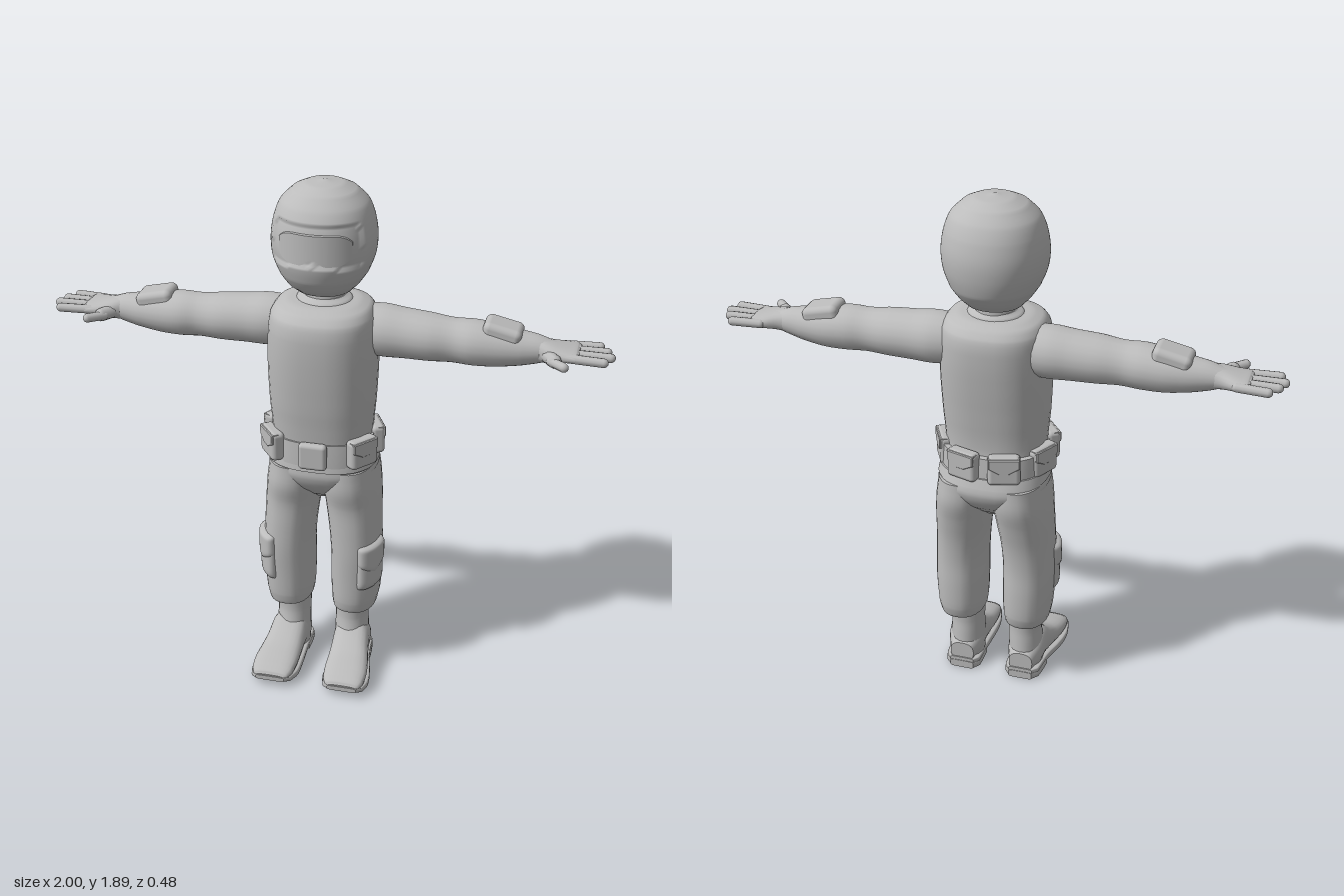
import * as THREE from 'three';
import { mergeVertices } from 'three/addons/utils/BufferGeometryUtils.js';
import { RoundedBoxGeometry } from 'three/addons/geometries/RoundedBoxGeometry.js';

const superCos = (a, p) => Math.sign(Math.cos(a)) * Math.abs(Math.cos(a)) ** (2 / p);
const superSin = (a, p) => Math.sign(Math.sin(a)) * Math.abs(Math.sin(a)) ** (2 / p);

// Closed skin through cross-sections [t, cx, cz, rx, rz] stacked along +y, smoothed between sections
function loft(sections, { n = 28, sub = 4, p = 2 } = {}) {
  const rows = [];
  const last = sections.length - 1;
  for (let k = 0; k < last; k++) {
    const q = [k - 1, k, k + 1, k + 2].map((i) => sections[Math.min(last, Math.max(0, i))]);
    for (let s = 0; s < sub; s++) {
      const t = s / sub;
      rows.push(q[1].map((b, c) => {
        if (c === 0) return b + (q[2][0] - b) * t;
        const m1 = (q[2][c] - q[0][c]) / 2, m2 = (q[3][c] - b) / 2, d = q[2][c] - b;
        return b + t * (m1 + t * (3 * d - 2 * m1 - m2 + t * (m1 + m2 - 2 * d)));
      }));
    }
  }
  rows.push(sections[last]);
  const pos = [], index = [];
  const ring = ([y, cx, cz, rx, rz]) => {
    for (let j = 0; j < n; j++) {
      const a = (j / n) * Math.PI * 2;
      pos.push(cx + rx * superCos(a, p), y, cz + rz * superSin(a, p));
    }
  };
  rows.forEach(ring);
  for (let i = 0; i < rows.length - 1; i++) {
    for (let j = 0; j < n; j++) {
      const a = i * n + j, b = i * n + ((j + 1) % n);
      index.push(a, a + n, b, b, a + n, b + n);
    }
  }
  // End caps with their own corners, so the rim stays sharp
  [rows[0], rows[rows.length - 1]].forEach((r, top) => {
    const base = pos.length / 3;
    ring(r);
    pos.push(r[1], r[0], r[2]);
    for (let j = 0; j < n; j++) {
      const a = base + j, b = base + ((j + 1) % n);
      index.push(base + n, top ? b : a, top ? a : b);
    }
  });
  const g = new THREE.BufferGeometry();
  g.setAttribute('position', new THREE.Float32BufferAttribute(pos, 3));
  g.setIndex(index);
  g.computeVertexNormals();
  return g;
}

// Move every vertex by a rule
function reshape(g, rule) {
  const P = g.attributes.position, v = new THREE.Vector3();
  for (let i = 0; i < P.count; i++) {
    rule(v.fromBufferAttribute(P, i));
    P.setXYZ(i, v.x, v.y, v.z);
  }
  g.computeVertexNormals();
  return g;
}
const alongX = (g) => reshape(g, (v) => v.set(v.y, v.z, v.x));
const alongZ = (g) => reshape(g, (v) => v.set(v.z, v.x, v.y));

function mirrored(geometry) {
  const g = mergeVertices(geometry.clone());
  g.scale(-1, 1, 1);
  const ix = g.index.array;
  for (let i = 0; i < ix.length; i += 3) [ix[i], ix[i + 2]] = [ix[i + 2], ix[i]];
  return g;
}

// Rounded finger between two points
function finger(a, b, r) {
  const A = new THREE.Vector3(...a), d = new THREE.Vector3(...b).sub(A);
  const g = new THREE.CapsuleGeometry(r, d.length() - r, 4, 10);
  g.applyQuaternion(new THREE.Quaternion().setFromUnitVectors(new THREE.Vector3(0, 1, 0), d.clone().normalize()));
  return g.translate(A.x + d.x / 2, A.y + d.y / 2, A.z + d.z / 2);
}

// Pouch flap with a blunt point, facing +z
function flap(w, h, d) {
  const s = new THREE.Shape();
  s.moveTo(-w / 2, h / 2).lineTo(-w / 2, -h * 0.1).lineTo(-w * 0.15, -h / 2);
  s.lineTo(w * 0.15, -h / 2).lineTo(w / 2, -h * 0.1).lineTo(w / 2, h / 2);
  return new THREE.ExtrudeGeometry(s, { depth: d, bevelSize: 0.003, bevelThickness: 0.003, bevelSegments: 1 });
}

// Padded patch wrapped round the outside of the left thigh; dip lowers the middle of its lower edge
function thighPatch(y0, y1, lift, dip) {
  return reshape(new THREE.PlaneGeometry(2, 2, 18, 18), ({ ...o }) => o) && reshape(new THREE.PlaneGeometry(2, 2, 18, 18), (v) => {
    const u = v.x * (1 - 0.06 * v.y ** 8), w = v.y * (1 - 0.06 * v.x ** 8);
    const a = 0.66 - u * 0.7;
    const out = -0.012 + (lift + 0.012) * (1 - v.x ** 8) * (1 - v.y ** 8);
    const drop = w < 0 ? dip * w * (1 - Math.abs(u)) : 0;
    v.set(0.127 + (0.092 + out) * superCos(a, 2.3), (y0 + y1) / 2 + (w * (y1 - y0)) / 2 + drop,
      -0.046 + (0.129 + out) * superSin(a, 2.3));
  });
}

export function createModel() {
  const model = new THREE.Group();
  model.name = 'helmetedFigure';
  const grey = new THREE.MeshStandardMaterial({ color: 0xbcbcbc });
  grey.name = 'grey';
  const add = (name, g) => {
    const m = new THREE.Mesh(g, grey);
    m.name = name;
    model.add(m);
  };
  const pair = (name, g) => {
    add(name + 'Left', g);
    add(name + 'Right', mirrored(g));
  };

  // Helmet with a sunken face opening
  const helmet = loft([
    [1.497, 0, -0.055, 0.07, 0.065], [1.51, 0, -0.054, 0.098, 0.1], [1.54, 0, -0.05, 0.126, 0.138],
    [1.58, 0, -0.05, 0.153, 0.166], [1.64, 0, -0.049, 0.175, 0.183], [1.705, 0, -0.051, 0.18, 0.185],
    [1.77, 0, -0.053, 0.17, 0.171], [1.82, 0, -0.055, 0.15, 0.146], [1.86, 0, -0.056, 0.11, 0.108],
    [1.88, 0, -0.057, 0.066, 0.066], [1.889, 0, -0.057, 0.01, 0.01],
  ], { n: 96, sub: 7, p: 2.1 });
  reshape(helmet, (v) => {
    const low = 1.65 - Math.abs(v.x) * 0.12;
    if (v.z > 0.045 && v.y > low && v.y < 1.78) {
      v.x *= 0.965;
      v.z = -0.05 + (v.z + 0.05) * 0.94;
    }
  });
  add('helmet', helmet);

  // Goggles wrapped round the face, with a notch for the nose
  const goggles = reshape(new THREE.BoxGeometry(2, 2, 1, 32, 10, 1), (v) => {
    const x = v.x * 0.125, side = Math.abs(v.x);
    const half = 0.054 * (1 - 0.5 * side ** 6);
    const notch = v.y < 0 ? 0.028 * Math.exp(-((x / 0.026) ** 2)) * -v.y : 0;
    const y = 1.7 + v.y * half + notch;
    v.set(x, y, -0.052 + 0.181 * Math.sqrt(1 - (x / 0.18) ** 2) + v.z * 0.022 - 0.013);
  });
  add('goggles', goggles);

  // Neck, collar and torso
  add('neck', new THREE.CylinderGeometry(0.068, 0.075, 0.1, 28).translate(0, 1.48, -0.056));
  add('collar', loft([[1.45, 0, -0.05, 0.11, 0.1], [1.475, 0, -0.052, 0.095, 0.088], [1.487, 0, -0.055, 0.075, 0.07]]));
  add('torso', loft([
    [0.94, 0, -0.04, 0.176, 0.145], [1.0, 0, -0.036, 0.18, 0.146], [1.1, 0, -0.035, 0.188, 0.158],
    [1.25, 0, -0.038, 0.193, 0.174], [1.37, 0, -0.041, 0.19, 0.181], [1.425, 0, -0.043, 0.182, 0.174],
    [1.455, 0, -0.045, 0.163, 0.148], [1.47, 0, -0.048, 0.125, 0.11], [1.473, 0, -0.05, 0.07, 0.06],
  ], { n: 36, p: 2.4 }));

  // Sleeves
  pair('arm', alongX(loft([
    [0.1, -0.075, 1.358, 0.08, 0.085], [0.2, -0.075, 1.358, 0.095, 0.093], [0.28, -0.073, 1.355, 0.091, 0.088],
    [0.37, -0.07, 1.352, 0.088, 0.084], [0.45, -0.07, 1.349, 0.077, 0.078], [0.52, -0.07, 1.348, 0.084, 0.08],
    [0.6, -0.074, 1.344, 0.078, 0.074], [0.68, -0.075, 1.343, 0.064, 0.062], [0.74, -0.075, 1.345, 0.05, 0.05],
    [0.8, -0.075, 1.345, 0.038, 0.032],
  ], { n: 20 })));
  pair('forearmPad', new RoundedBoxGeometry(0.135, 0.06, 0.11, 3, 0.022)
    .rotateZ(-0.22).translate(0.617, 1.4, -0.075));

  // Hands
  pair('palm', alongX(loft([
    [0.73, -0.075, 1.345, 0.042, 0.044], [0.78, -0.068, 1.345, 0.055, 0.036],
    [0.83, -0.074, 1.345, 0.069, 0.026], [0.87, -0.077, 1.345, 0.074, 0.019], [0.88, -0.077, 1.345, 0.068, 0.013],
  ], { n: 20, p: 2.3 })));
  [[0.957, -0.142], [0.985, -0.1], [1.0, -0.058], [0.98, -0.013]].forEach(([tip, z], i) =>
    pair('finger' + (i + 1), finger([0.83, 1.345, -0.077 + (z + 0.077) * 0.85], [tip - 0.0075, 1.345, z], 0.016)));
  pair('thumbBase', finger([0.76, 1.34, -0.06], [0.81, 1.341, 0.015], 0.024));
  pair('thumb', finger([0.785, 1.34, 0.0], [0.845, 1.343, 0.055], 0.016));

  // Belt, buckle and pouches
  add('belt', loft([[0.885, 0, -0.048, 0.19, 0.162], [0.975, 0, -0.046, 0.187, 0.158]], { n: 36, p: 2.5, sub: 1 }));
  add('buckle', new RoundedBoxGeometry(0.1, 0.1, 0.035, 3, 0.014).translate(0, 0.935, 0.123));
  [[0.162, 0.06, 52], [0.178, -0.085, 117], [0.073, -0.197, 163]].forEach(([x, z, deg], i) => {
    const turn = THREE.MathUtils.degToRad(deg);
    pair('pouch' + (i + 1), new RoundedBoxGeometry(0.115, 0.108, 0.05, 3, 0.016).rotateY(turn).translate(x, 0.943, z));
    pair('pouchFlap' + (i + 1), flap(0.102, 0.052, 0.024).rotateY(turn).translate(x, 0.964, z));
  });

  // Trousers
  add('hips', loft([
    [0.705, 0, -0.06, 0.03, 0.06], [0.73, 0, -0.06, 0.07, 0.09], [0.78, 0, -0.06, 0.155, 0.145],
    [0.83, 0, -0.06, 0.195, 0.17], [0.868, 0, -0.058, 0.196, 0.168], [0.9, 0, -0.052, 0.188, 0.158],
  ], { n: 36, p: 2.5 }));
  add('waistband', loft([[0.865, 0, -0.056, 0.2, 0.172], [0.9, 0, -0.052, 0.193, 0.163]], { n: 36, p: 2.5, sub: 1 }));
  pair('trouserLeg', loft([
    [0.243, 0.122, -0.048, 0.068, 0.092], [0.255, 0.123, -0.049, 0.08, 0.112], [0.3, 0.125, -0.05, 0.087, 0.124],
    [0.4, 0.127, -0.048, 0.092, 0.128], [0.5, 0.127, -0.044, 0.092, 0.13], [0.6, 0.121, -0.048, 0.094, 0.135],
    [0.7, 0.112, -0.058, 0.099, 0.146], [0.78, 0.104, -0.06, 0.1, 0.163], [0.86, 0.098, -0.06, 0.096, 0.16],
  ], { n: 28, p: 2.3 }));

  // Thigh pockets
  pair('thighPocket', thighPatch(0.36, 0.552, 0.014, 0));
  pair('thighPocketFlap', thighPatch(0.47, 0.558, 0.02, 0.045));

  // Boots
  pair('bootShaft', loft([
    [0.03, 0.115, -0.04, 0.062, 0.078], [0.1, 0.114, -0.035, 0.064, 0.08],
    [0.15, 0.113, -0.04, 0.063, 0.072], [0.2, 0.112, -0.043, 0.062, 0.067], [0.28, 0.115, -0.044, 0.068, 0.072],
  ], { n: 24 }));
  pair('bootFoot', alongZ(loft([
    [-0.12, 0.068, 0.115, 0.04, 0.045], [-0.06, 0.088, 0.117, 0.065, 0.066], [0.0, 0.097, 0.121, 0.074, 0.068],
    [0.05, 0.08, 0.125, 0.057, 0.071], [0.1, 0.066, 0.13, 0.043, 0.076], [0.16, 0.058, 0.134, 0.034, 0.08],
    [0.21, 0.051, 0.136, 0.026, 0.076], [0.235, 0.046, 0.137, 0.016, 0.064], [0.242, 0.044, 0.137, 0.007, 0.052],
  ], { n: 24, p: 2.6 })));
  pair('bootSole', alongZ(loft([
    [-0.124, 0.032, 0.115, 0.012, 0.045], [-0.1, 0.031, 0.116, 0.013, 0.064], [0.0, 0.026, 0.121, 0.015, 0.07],
    [0.1, 0.02, 0.131, 0.016, 0.083], [0.17, 0.023, 0.135, 0.015, 0.087], [0.225, 0.032, 0.137, 0.012, 0.075],
    [0.245, 0.037, 0.137, 0.009, 0.055],
  ], { n: 24, p: 6 })));
  pair('bootHeel', alongZ(loft([
    [-0.126, 0.015, 0.115, 0.015, 0.045], [-0.1, 0.015, 0.116, 0.015, 0.066], [-0.015, 0.015, 0.12, 0.015, 0.071],
  ], { n: 24, p: 6 })));
  return model;
}
